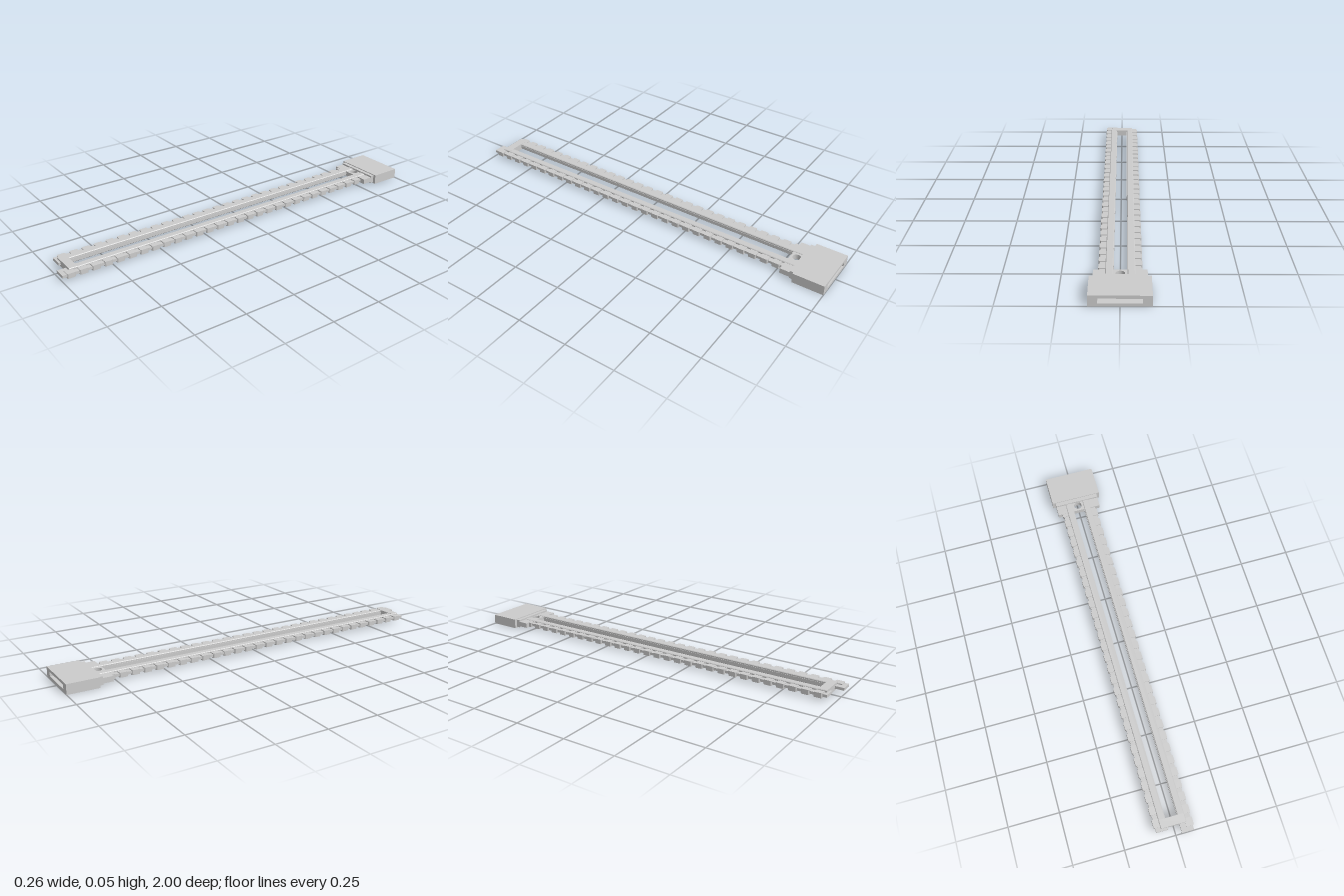
import * as THREE from 'three';

const mat = new THREE.MeshStandardMaterial({ color: 0xcccccc, flatShading: true });

function add(parent, name, geo) {
  const m = new THREE.Mesh(geo, mat);
  m.name = name;
  parent.add(m);
  return m;
}

// box given by its limits
function box(x0, x1, y0, y1, z0, z1) {
  return new THREE.BoxGeometry(x1 - x0, y1 - y0, z1 - z0)
    .translate((x0 + x1) / 2, (y0 + y1) / 2, (z0 + z1) / 2);
}

function polygon(points) {
  return new THREE.Shape(points.map(([x, y]) => new THREE.Vector2(x, y)));
}

function rectangle(x, y0, y1) {
  return [[-x, y0], [x, y0], [x, y1], [-x, y1]];
}

// front outline drawn out along z
function alongZ(shape, z0, z1) {
  return new THREE.ExtrudeGeometry(shape, { depth: z1 - z0, bevelEnabled: false, curveSegments: 12 })
    .translate(0, 0, z0);
}

// plan outline (x, -z) drawn out upwards
function upward(shape, y0, y1) {
  return new THREE.ExtrudeGeometry(shape, { depth: y1 - y0, bevelEnabled: false, curveSegments: 12 })
    .rotateX(-Math.PI / 2).translate(0, y0, 0);
}

// rectangle with chamfered corners
function chamfered(x0, x1, y0, y1, c) {
  return polygon([
    [x0 + c, y0], [x1 - c, y0], [x1, y0 + c], [x1, y1 - c],
    [x1 - c, y1], [x0 + c, y1], [x0, y1 - c], [x0, y0 + c],
  ]);
}

function createRail(side, end) {
  const rail = new THREE.Group();
  rail.name = side > 0 ? 'leftRail' : 'rightRail';
  const span = (a, b) => (side > 0 ? [a, b] : [-b, -a]);

  // smooth inner band and the thin core that carries the teeth
  add(rail, 'innerBand', alongZ(chamfered(...span(0.03, 0.063), 0.011, 0.041, 0.003), -0.83, 0.95));
  add(rail, 'core', box(...span(0.028, 0.087), 0.019, 0.032, -0.83, end));

  // row of teeth on the outer edge
  const pitch = 0.0608, half = 0.02, c = 0.004;
  const tooth = upward(polygon([
    [side * 0.055, -half], [side * (0.093 - c), -half], [side * 0.093, -half + c],
    [side * 0.093, half - c], [side * (0.093 - c), half], [side * 0.055, half],
  ]), 0.0125, 0.0365);
  for (let i = 0; i < 29; i++) {
    add(rail, 'tooth', tooth).position.z = end - 0.041 - i * pitch;
  }
  return rail;
}

export function createModel() {
  const model = new THREE.Group();
  model.name = 'toothedDoubleRail';

  // end housing with a slot open to the back
  const shell = polygon(rectangle(0.129, 0, 0.05));
  shell.holes.push(new THREE.Path(rectangle(0.09, 0.014, 0.036).map(([x, y]) => new THREE.Vector2(x, y))));
  add(model, 'housing', alongZ(shell, -1, -0.845));
  add(model, 'collar', box(-0.114, 0.114, 0.005, 0.046, -0.848, -0.825));

  // neck plate with a round hole between the rails
  const plate = polygon(rectangle(0.114, 0.775, 0.83));
  const hole = new THREE.Path();
  hole.absarc(0, 0.805, 0.02, 0, Math.PI * 2, true);
  plate.holes.push(hole);
  add(model, 'neckPlate', upward(plate, 0.0115, 0.0375));

  // the two rails, their teeth staggered by half a pitch
  model.add(createRail(1, 1), createRail(-1, 0.967));

  // bar joining the rails at the front
  add(model, 'crossbar', alongZ(chamfered(-0.063, 0.063, 0.0095, 0.0425, 0.003), 0.915, 0.956));

  return model;
}
